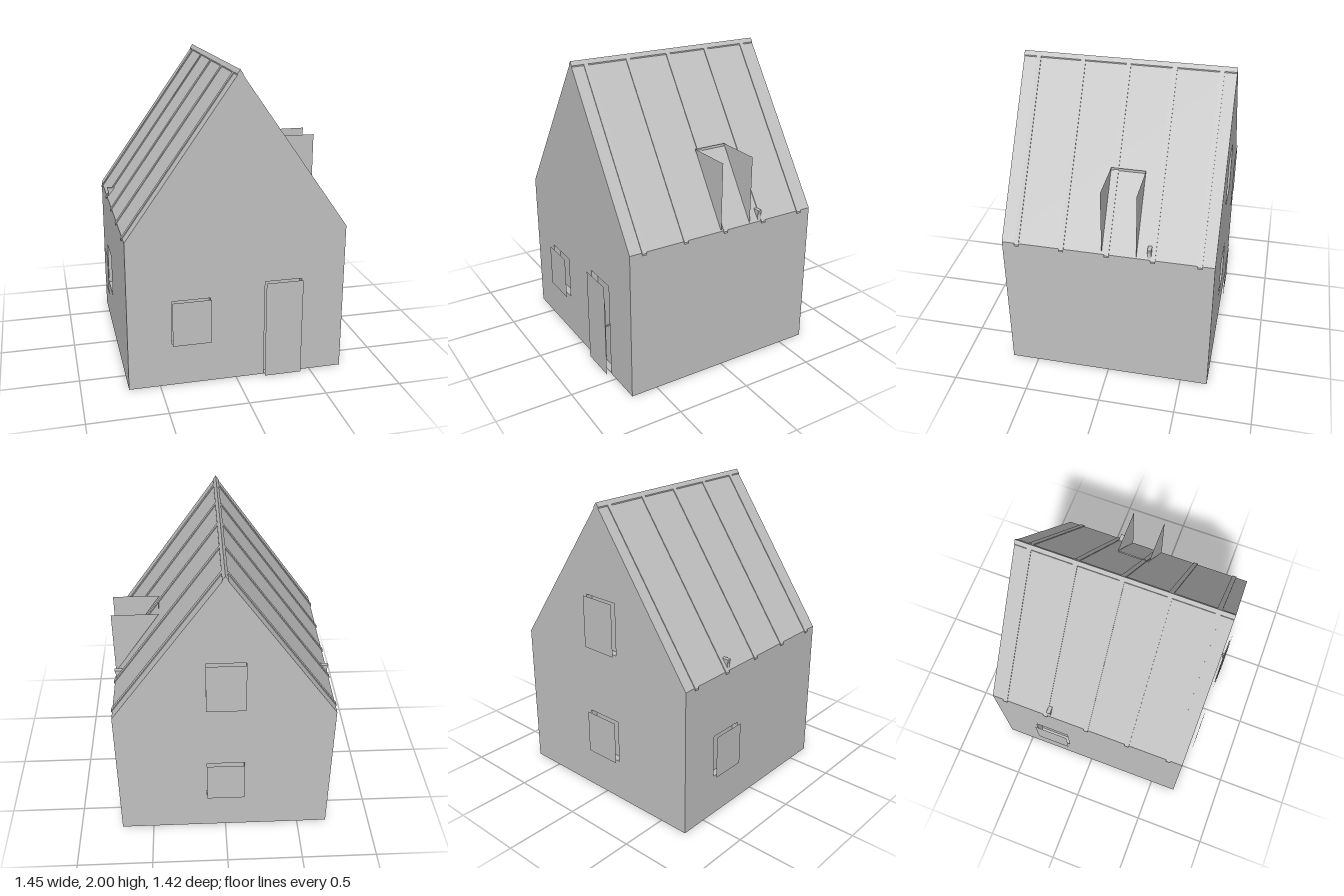
import * as THREE from 'three';

const CX = 0.007;            // ridge line in x
const HALF = 0.708;          // half width of the walls
const ZW = 0.68;             // half length of the house
const T = 0.06;              // wall thickness
const EAVE = 0.99, PEAK = 1.992;
const SLOPE = (PEAK - EAVE) / HALF;

export function createModel() {
  const house = new THREE.Group();
  house.name = 'house';
  const grey = new THREE.MeshStandardMaterial({ color: 0xc0c0c0 });
  grey.name = 'plain grey';
  const sheet = grey.clone();
  sheet.side = THREE.DoubleSide;
  sheet.name = 'plain grey';

  const add = (name, geometry, material = grey) => {
    const mesh = new THREE.Mesh(geometry, material);
    mesh.name = name;
    house.add(mesh);
    return mesh;
  };
  const outline = (pts) => new THREE.Shape(pts.map(([x, y]) => new THREE.Vector2(x, y)));
  const rect = (x0, x1, y0, y1) => outline([[x0, y0], [x1, y0], [x1, y1], [x0, y1]]);
  const extrude = (shape, z0, z1) =>
    new THREE.ExtrudeGeometry(shape, { depth: z1 - z0, bevelEnabled: false }).translate(0, 0, z0);
  const box = (x0, x1, y0, y1, z0, z1) =>
    new THREE.BoxGeometry(x1 - x0, y1 - y0, z1 - z0)
      .translate((x0 + x1) / 2, (y0 + y1) / 2, (z0 + z1) / 2);

  // Openings as x0, x1, y0, y1
  const frontWindow = [-0.42, -0.17, 0.285, 0.58];
  const door = [0.185, 0.43, 0.003, 0.655];
  const backWindows = [[-0.125, 0.125, 0.285, 0.58], [-0.125, 0.125, 1.05, 1.4]];
  const sideWindow = [-0.405, -0.165, 0.285, 0.58]; // along z

  // Gable walls
  const gable = (name, openings, z0, z1) => {
    const shape = outline([
      [CX - HALF, 0], [CX + HALF, 0], [CX + HALF, EAVE - 0.012],
      [CX, PEAK - 0.012], [CX - HALF, EAVE - 0.012],
    ]);
    shape.holes = openings.map((o) => rect(...o));
    add(name, extrude(shape, z0, z1));
  };
  gable('frontWall', [frontWindow, door], ZW - T, ZW);
  gable('backWall', backWindows, -ZW, -ZW + T);

  // Side walls and floor
  const inner = ZW - T;
  add('leftWall', box(CX + HALF - T, CX + HALF, 0, EAVE - 0.012, -inner, inner));
  const sideShape = rect(-inner, inner, 0, EAVE - 0.012);
  sideShape.holes = [rect(-sideWindow[1], -sideWindow[0], sideWindow[2], sideWindow[3])];
  add('rightWall', extrude(sideShape, 0, T).rotateY(Math.PI / 2).translate(CX - HALF, 0, 0));
  add('floor', box(CX - HALF + T, CX + HALF - T, 0, 0.01, -inner, inner));

  // Thin panels standing just off the openings, with a backing in each opening
  const panel = (name, [x0, x1, y0, y1], z, backZ) => {
    add(name, new THREE.PlaneGeometry(x1 - x0, y1 - y0), sheet)
      .position.set((x0 + x1) / 2, (y0 + y1) / 2, z);
    add(name + 'Backing', box(x0, x1, y0, y1, backZ - 0.005, backZ + 0.005));
  };
  panel('frontWindow', frontWindow, 0.71, ZW - T + 0.01);
  panel('door', door, 0.713, ZW - T + 0.01);
  backWindows.forEach((o) => panel('backWindow', o, -0.71, -ZW + T - 0.01));
  const [s0, s1, sy0, sy1] = sideWindow;
  const sidePanel = add('sideWindow', new THREE.PlaneGeometry(s1 - s0, sy1 - sy0), sheet);
  sidePanel.rotation.y = -Math.PI / 2;
  sidePanel.position.set(-0.725, (sy0 + sy1) / 2, (s0 + s1) / 2);
  add('sideWindowBacking', box(CX - HALF + T - 0.015, CX - HALF + T - 0.005, sy0, sy1, s0, s1));

  // Door back plate and its stem
  add('doorPlate', box(0.2, 0.42, 0.13, 0.53, 0.704, 0.71));
  add('doorStem', box(0.365, 0.375, 0.325, 0.335, ZW - T, 0.705));
  add('doorLatch', box(0.34, 0.375, 0.325, 0.335, 0.695, 0.701));

  // Strip following the slope on one side, between two distances from the ridge
  const slopeStrip = (side, d0, d1, bottom, top, z0, z1) => {
    const at = (d, lift) => [CX + side * d, PEAK - SLOPE * d + lift];
    const pts = [at(d0, bottom), at(d1, bottom), at(d1, top), at(d0, top)];
    return extrude(outline(pts), z0, z1);
  };

  for (const side of [-1, 1]) {
    // Roof skin, raised seams and ridge capping
    add('roofPanel', slopeStrip(side, 0, HALF, -0.012, 0, -ZW, ZW));
    for (let i = -2; i <= 2; i++) {
      const z = -0.002 + i * 0.2925;
      add('roofSeam', slopeStrip(side, 0.018, 0.717, -0.004, 0.009, z - 0.015, z + 0.015));
    }
    add('ridgeCap', slopeStrip(side, 0, 0.018, -0.002, 0.008, -ZW, ZW));

    // Small bracket on the lower roof
    const at = (d, y) => [CX + side * d, y];
    add('roofBracket', extrude(outline([
      at(0.705, 1.0), at(0.7, 1.03), at(0.708, 1.062), at(0.655, 1.062),
    ]), -0.283, -0.257));
  }

  // Dormer: two upright cheeks and a narrow strip where they meet the roof
  const cheek = outline([[0.408, 1.44], [0.715, 0.99], [0.715, 1.44]]);
  for (const z of [0.03, -0.19]) {
    add('dormerCheek', new THREE.ShapeGeometry(cheek).translate(0, 0, z), sheet);
  }
  const strip = add('dormerStrip', new THREE.PlaneGeometry(0.22, 0.018), sheet);
  strip.rotation.y = Math.PI / 2;
  strip.position.set(0.411, 1.431, -0.08);

  return house;
}
